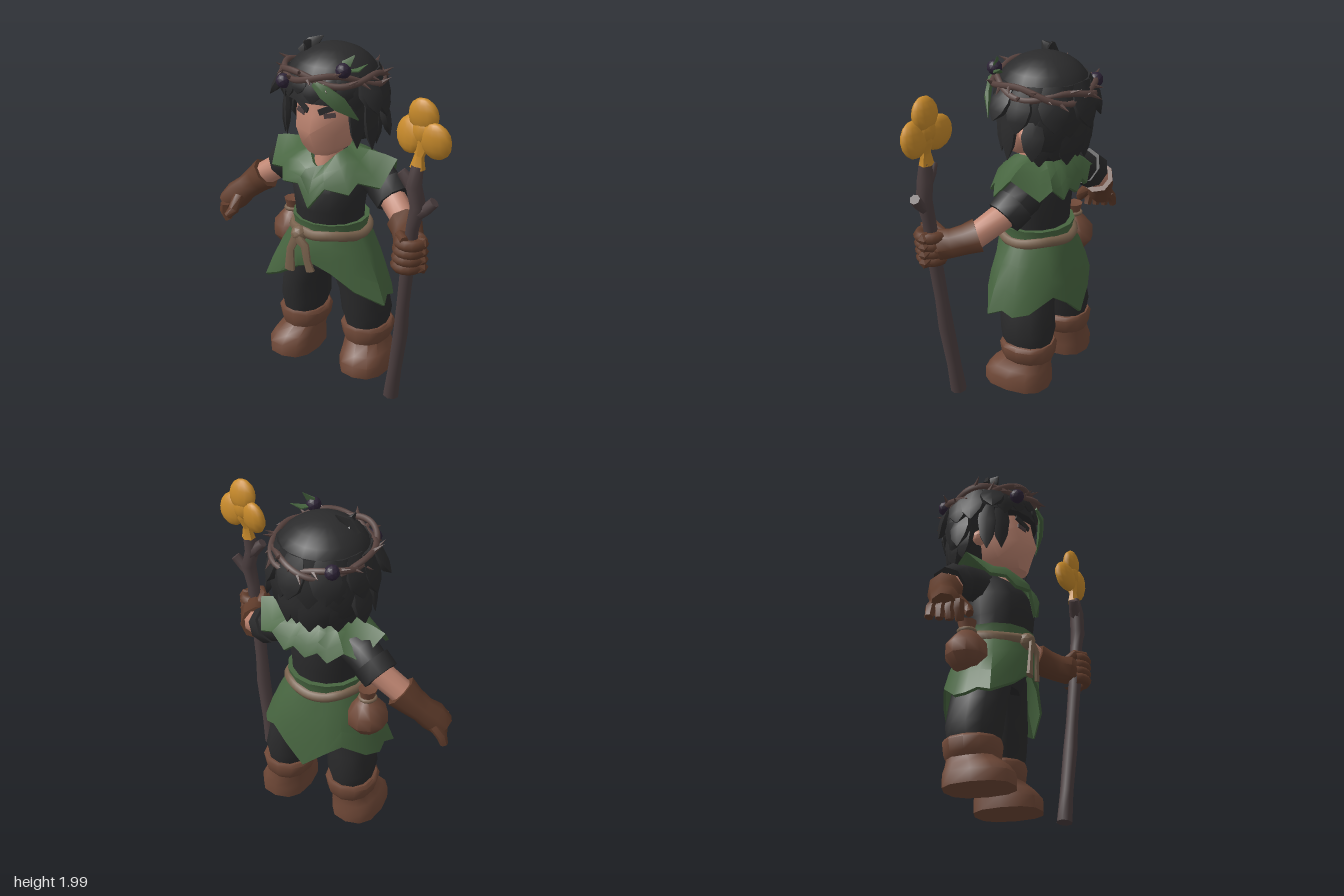
import * as THREE from 'three';
import { toCreasedNormals } from 'three/addons/utils/BufferGeometryUtils.js';

const V = (x, y, z) => new THREE.Vector3(x, y, z);
const mat = (name, color) => Object.assign(new THREE.MeshStandardMaterial({ color }), { name });
const CX = -0.025; // body midline

// Skin closed rows of points into a surface, with optional end caps
function grid(rows, caps = true, crease = 0.9) {
  const pos = [], n = rows[0].length;
  const tri = (...p) => p.forEach(v => pos.push(v.x, v.y, v.z));
  for (let j = 0; j < rows.length - 1; j++) for (let i = 0; i < n; i++) {
    const k = (i + 1) % n, a = rows[j][i], b = rows[j][k], c = rows[j + 1][k], d = rows[j + 1][i];
    tri(a, b, c); tri(a, c, d);
  }
  if (caps) [rows[0], rows[rows.length - 1]].forEach((row, e) => {
    const mid = row.reduce((s, p) => s.add(p), V(0, 0, 0)).divideScalar(n);
    row.forEach((p, i) => { const q = row[(i + 1) % n]; e ? tri(mid, p, q) : tri(mid, q, p); });
  });
  const g = new THREE.BufferGeometry();
  g.setAttribute('position', new THREE.Float32BufferAttribute(pos, 3));
  return toCreasedNormals(g, crease);
}

// Stack of level ovals: [y, x, z, halfWidth, halfDepth]
function loft(rings, n = 12, pow = 1) {
  const sq = t => Math.sign(t) * Math.abs(t) ** pow;
  return grid(rings.map(([y, x, z, rx, rz]) => Array.from({ length: n }, (_, i) => {
    const a = i / n * Math.PI * 2;
    return V(x + rx * sq(Math.sin(a)), y, z + rz * sq(Math.cos(a)));
  })));
}

// Tapered limb along points [x, y, z, radius], flattened towards ref
function limb(pts, n = 8, flat = 1, ref = V(0, 0, 1)) {
  const p = pts.map(q => V(q[0], q[1], q[2]));
  return grid(p.map((c, j) => {
    const T = p[Math.min(j + 1, p.length - 1)].clone().sub(p[Math.max(j - 1, 0)]).normalize();
    const N = ref.clone().addScaledVector(T, -ref.dot(T)).normalize(), B = T.clone().cross(N);
    return Array.from({ length: n }, (_, i) => {
      const a = i / n * Math.PI * 2, r = pts[j][3];
      return c.clone().addScaledVector(N, Math.cos(a) * r * flat).addScaledVector(B, Math.sin(a) * r);
    });
  }));
}

// Thick cloth from a top edge to a pointed hem; half a hem is given and mirrored
function cloth(half, top, bulge, thick) {
  const cz = -0.03;
  const hem = half.concat(half.slice(1, -1).reverse().map(([x, y, z]) => [2 * CX - x, y, z]));
  const row = (t, inset) => hem.map(h => {
    const a = Math.atan2(h[0] - CX, h[2] - cz), out = V(Math.sin(a), 0.6, Math.cos(a));
    return V(...h).lerp(top(a), t).addScaledVector(out, bulge * Math.sin(Math.PI * t) - inset);
  });
  const ts = [0, 0.3, 0.65, 1];
  return grid([...ts.map(t => row(t, 0)), ...ts.reverse().map(t => row(t, thick)), row(0, 0)], false, 0.7);
}

export function createModel() {
  const root = new THREE.Group();
  root.name = 'wanderer';
  const black = mat('black cloth and hair', 0x2b2b2c), green = mat('leaf green', 0x476540);
  const skin = mat('skin', 0xc08672), boot = mat('boot leather', 0x6f4837), glove = mat('glove leather', 0x613d2c);
  const rope = mat('rope', 0x7a634e), wood = mat('dark wood', 0x4c3f40), gold = mat('gold', 0xc98b2b);
  const berry = mat('berry', 0x2d2336), vine = mat('thorn vine', 0x58433f);
  const add = (name, geo, m, parent = root) => {
    const mesh = new THREE.Mesh(geo, m);
    mesh.name = name;
    parent.add(mesh);
    return mesh;
  };
  const ball = (name, m, x, y, z, r, d = 1) => add(name, toCreasedNormals(new THREE.IcosahedronGeometry(r, d), 0.5), m).position.set(x, y, z);

  // Boots and baggy trouser legs
  for (const s of [1, -1]) {
    const x = CX + s * 0.215, f = CX + s * 0.245;
    add('bootFoot', loft([[0.01, f, -0.03, 0.148, 0.2], [0.08, f, -0.03, 0.15, 0.2], [0.13, f - s * 0.01, -0.045, 0.135, 0.175],
      [0.18, x, -0.075, 0.12, 0.145], [0.22, x, -0.075, 0.12, 0.145]], 12, 0.8), boot);
    add('bootCuff', loft([[0.17, x, -0.075, 0.12, 0.145], [0.2, x, -0.08, 0.143, 0.158], [0.27, x, -0.08, 0.157, 0.165],
      [0.29, x, -0.08, 0.14, 0.155]], 12, 0.9), boot);
    add('trouserLeg', loft([[0.26, x, -0.075, 0.12, 0.145], [0.3, x, -0.075, 0.125, 0.15], [0.36, x - s * 0.005, -0.075, 0.142, 0.16],
      [0.5, x - s * 0.02, -0.06, 0.135, 0.16], [0.62, x - s * 0.06, -0.05, 0.14, 0.16], [0.75, x - s * 0.09, -0.04, 0.12, 0.16]], 12, 0.9), black);
  }
  add('hips', loft([[0.64, CX, -0.04, 0.17, 0.15], [0.75, CX, -0.03, 0.215, 0.175], [0.93, CX, -0.015, 0.2, 0.185]]), black);

  // Shirt, leaf skirt and leaf collar
  add('shirt', loft([[0.92, CX, -0.01, 0.2, 0.185], [1.05, CX, -0.005, 0.207, 0.2], [1.17, CX, -0.005, 0.225, 0.21],
    [1.26, CX, -0.03, 0.21, 0.17], [1.32, CX, -0.05, 0.16, 0.11], [1.36, CX, -0.06, 0.1, 0.06]], 14), black);
  const oval = (y, z, rx, rz) => a => V(CX + rx * Math.sin(a), y, z + rz * Math.cos(a));
  add('skirt', cloth([[CX, 0.72, 0.2], [0.09, 0.68, 0.195], [0.23, 0.59, 0.17], [0.38, 0.5, 0.08], [0.355, 0.53, 0], [0.36, 0.505, -0.07],
    [0.31, 0.52, -0.15], [0.2, 0.61, -0.25], [0.1, 0.54, -0.29], [CX, 0.43, -0.31]], oval(0.91, -0.015, 0.215, 0.2), 0.012, 0.015), green);
  add('waistTrim', loft([[0.86, CX, -0.015, 0.222, 0.202], [0.93, CX, -0.015, 0.218, 0.202], [0.975, CX, -0.015, 0.228, 0.215]], 14), green);
  add('collar', cloth([[CX - 0.02, 1.08, 0.225], [0.06, 1.215, 0.215], [0.19, 1.19, 0.17], [0.22, 1.25, 0.12], [0.33, 1.22, 0.06],
    [0.365, 1.355, -0.07], [0.29, 1.23, -0.21], [0.2, 1.27, -0.24], [0.11, 1.19, -0.265], [0.05, 1.24, -0.265], [CX, 1.19, -0.275]],
    a => V(CX + 0.11 * Math.sin(a), 1.39 - 0.085 * Math.max(0, Math.cos(a)) ** 4, -0.03 + (Math.cos(a) > 0 ? 0.17 : 0.11) * Math.cos(a)), 0.017, 0.018), green);

  // Rope belt with knot and hanging ends
  const beltPts = Array.from({ length: 16 }, (_, i) => oval(0.9 + 0.01 * Math.sin(i * 1.3), -0.015, 0.218, 0.202)(i / 8 * Math.PI));
  add('belt', new THREE.TubeGeometry(new THREE.CatmullRomCurve3(beltPts, true), 48, 0.031, 6, true), rope);
  ball('beltKnot', rope, -0.12, 0.89, 0.19, 0.05);
  add('beltEnd', limb([[-0.12, 0.89, 0.22, 0.03], [-0.16, 0.8, 0.225, 0.025], [-0.17, 0.66, 0.22, 0.035]], 6, 0.5), rope);
  add('beltEnd', limb([[-0.13, 0.89, 0.22, 0.03], [-0.06, 0.84, 0.23, 0.03], [-0.05, 0.75, 0.225, 0.025], [-0.03, 0.68, 0.22, 0.03]], 6, 0.5), rope);

  // Hip pouch
  const pouchProfile = [[0, -0.11], [0.075, -0.1], [0.122, -0.04], [0.118, 0.03], [0.07, 0.09], [0.04, 0.12], [0.055, 0.18], [0, 0.165]];
  const pouch = add('pouch', toCreasedNormals(new THREE.LatheGeometry(pouchProfile.map(p => new THREE.Vector2(...p)), 10), 0.9), boot);
  pouch.position.set(-0.33, 0.78, -0.09);
  const tie = add('pouchTie', new THREE.TorusGeometry(0.045, 0.012, 6, 12), rope);
  tie.position.set(-0.33, 0.9, -0.09);
  tie.rotation.x = Math.PI / 2;

  // Right arm, hanging open
  add('rightSleeve', limb([[-0.16, 1.26, -0.07, 0.1], [-0.31, 1.22, -0.12, 0.105], [-0.4, 1.165, -0.15, 0.095]]), black);
  add('rightSleeveCuff', limb([[-0.365, 1.195, -0.14, 0.112], [-0.44, 1.14, -0.16, 0.108]]), black);
  add('rightForearm', limb([[-0.4, 1.16, -0.15, 0.075], [-0.6, 1.025, -0.13, 0.07]]), skin);
  add('rightGlove', limb([[-0.55, 1.055, -0.135, 0.1], [-0.61, 1.005, -0.125, 0.085], [-0.67, 0.95, -0.1, 0.075], [-0.72, 0.9, -0.07, 0.085],
    [-0.78, 0.84, -0.05, 0.07]]), glove);
  for (let i = 0; i < 4; i++) {
    const z = -0.115 + 0.045 * i;
    add('rightFinger', limb([[-0.75, 0.87, z, 0.032], [-0.8 + i * 0.015, 0.82, z, 0.032], [-0.82 + i * 0.03, 0.765, z, 0.023]], 6), glove);
  }
  add('rightThumb', limb([[-0.68, 0.92, -0.02, 0.035], [-0.68, 0.85, 0.04, 0.033], [-0.71, 0.81, 0.065, 0.022]], 6), glove);

  // Left arm, gripping the staff
  add('leftSleeve', limb([[0.11, 1.26, -0.07, 0.1], [0.24, 1.22, -0.08, 0.11], [0.33, 1.165, -0.05, 0.1]]), black);
  add('leftSleeveCuff', limb([[0.295, 1.19, -0.065, 0.115], [0.37, 1.13, -0.03, 0.108]]), black);
  add('leftForearm', limb([[0.32, 1.165, -0.05, 0.078], [0.53, 1.03, 0.09, 0.07]]), skin);
  add('leftGlove', limb([[0.485, 1.05, 0.065, 0.1], [0.53, 1.03, 0.12, 0.088], [0.57, 1.01, 0.18, 0.085], [0.6, 1, 0.24, 0.092], [0.62, 0.99, 0.28, 0.065]],
    8, 1, V(0, 1, 0)), glove);
  for (let i = 0; i < 4; i++) {
    const y = 0.925 + i * 0.046;
    const finger = add('leftFinger', new THREE.TorusGeometry(0.062, 0.033, 6, 10, Math.PI * 1.4), glove);
    finger.position.set(0.612 + i * 0.005, y, 0.28);
    finger.rotation.set(-Math.PI / 2, 0, -Math.PI * 0.9);
    ball('leftKnuckle', glove, 0.69, y, 0.275, 0.04, 0);
  }
  add('leftThumb', limb([[0.57, 1.04, 0.22, 0.035], [0.57, 1.09, 0.29, 0.03], [0.62, 1.09, 0.345, 0.025]], 6), glove);

  // Staff with forked top
  add('staff', limb([[0.5, 0.015, 0.215, 0.047], [0.525, 0.2, 0.225, 0.041], [0.565, 0.47, 0.243, 0.044], [0.58, 0.65, 0.255, 0.038], [0.605, 0.88, 0.27, 0.04],
    [0.635, 1.15, 0.28, 0.038], [0.665, 1.28, 0.285, 0.045], [0.64, 1.39, 0.29, 0.045], [0.65, 1.5, 0.275, 0.035]]), wood);
  add('staffBranch', limb([[0.66, 1.23, 0.285, 0.035], [0.71, 1.27, 0.285, 0.032], [0.755, 1.32, 0.28, 0.03]], 7), wood);
  add('staffBranch', limb([[0.645, 1.37, 0.285, 0.04], [0.6, 1.42, 0.285, 0.035], [0.565, 1.46, 0.29, 0.028]], 7), wood);

  // Clover head: three flat lobes merging in the middle
  const clover = new THREE.Group();
  clover.name = 'clover';
  clover.position.set(0.667, 1.665, 0.255);
  clover.rotation.y = -0.22;
  root.add(clover);
  [[0, 0.105, 0.1, 0.09], [-0.08, -0.012, -0.12, 0.094], [0.08, -0.012, 0.12, 0.094], [0, 0.02, 0, 0.07]].forEach(([x, y, twist, r]) => {
    const lobe = add('cloverLobe', new THREE.SphereGeometry(1, 12, 8), gold, clover);
    lobe.scale.set(r, r + 0.008, 0.046);
    lobe.position.set(x, y, 0);
    lobe.rotation.set(twist, twist, 0);
  });
  add('cloverStem', limb([[-0.015, -0.18, 0.02, 0.045], [-0.01, -0.11, 0.015, 0.028], [0, -0.04, 0, 0.05], [0, 0.06, 0, 0.05]], 6, 0.8), gold, clover);

  // Head, neck, ears and eyes
  const HX = -0.022;
  add('neck', loft([[1.26, CX, 0.02, 0.09, 0.095], [1.34, CX, 0.005, 0.08, 0.095], [1.45, CX, -0.01, 0.075, 0.08]], 8), skin);
  add('head', loft([[1.385, HX, 0.07, 0.085, 0.095], [1.43, HX, 0.035, 0.145, 0.15], [1.53, HX, 0, 0.18, 0.228],
    [1.62, HX, 0, 0.187, 0.205], [1.75, HX, -0.02, 0.19, 0.2]], 8), skin);
  for (const s of [1, -1]) {
    ball('ear', skin, HX + s * 0.195, 1.55, -0.06, 0.045);
    const plate = (name, w, h, x, y, z, m, tilt) => {
      const b = add(name, new THREE.BoxGeometry(w, h, 0.009), m);
      b.position.set(HX + s * x, y, z);
      b.rotation.set(-0.1, s * 0.42, s * tilt, 'YXZ');
    };
    plate('eyebrow', 0.115, 0.034, 0.082, 1.668, 0.166, black, 0.38);
    plate('eye', 0.065, 0.026, 0.09, 1.632, 0.165, wood, 0.15);
  }

  // Hair: smooth full dome, back mass and rows of pointed locks
  const HZ = -0.055;
  const dome = [0, 0.25, 0.5, 0.7, 0.85, 0.95, 0.99].map(t => {
    const k = Math.sqrt(1 - t ** 2.4);
    return [1.7 + 0.268 * t, -0.03, HZ, 0.277 * k, 0.275 * k];
  });
  add('hairDome', loft(dome, 20), black);
  add('hairBack', loft([[1.41, -0.03, -0.16, 0.17, 0.09], [1.5, -0.03, -0.17, 0.25, 0.125], [1.65, -0.03, -0.17, 0.27, 0.145], [1.8, -0.03, -0.15, 0.245, 0.14]]), black);
  const lock = (deg, y0, y1, r0, r1, w) => {
    const a = deg * Math.PI / 180, out = V(Math.sin(a), 0, Math.cos(a));
    const at = (t, k) => {
      const r = r0 + (r1 - r0) * t;
      return [-0.03 + r * out.x, y0 + (y1 - y0) * t, HZ + r * out.z, w * k];
    };
    add('hairLock', limb([at(0, 0.6), at(0.45, 1), at(0.75, 0.75), at(1, 0.06)], 6, 0.42, out), black);
  };
  [-54, -36, -17, 3, 22, 42, 56].forEach((d, i) => lock(d, 1.84, [1.67, 1.7, 1.74, 1.7, 1.75, 1.71, 1.66][i], 0.235, 0.275, 0.07));
  for (const s of [1, -1]) {
    lock(s * 58, 1.76, 1.44, 0.255, 0.265, 0.055);
    lock(s * 76, 1.76, 1.42, 0.26, 0.29, 0.06);
    lock(s * 70, 1.83, 1.655, 0.245, 0.365, 0.08);
    lock(s * 92, 1.83, 1.6, 0.25, 0.33, 0.085);
    lock(s * 108, 1.68, 1.45, 0.265, 0.32, 0.075);
  }
  for (let i = 0; i < 8; i++) lock(110 + i * 20, 1.84, 1.56 + 0.05 * (i % 2), 0.23, i % 2 ? 0.315 : 0.275, 0.1);
  for (let i = 0; i < 8; i++) lock(113 + i * 19, 1.66, 1.39 + 0.03 * (i % 2), 0.24, 0.24, 0.085);
  add('hairTuft', limb([[-0.2, 1.89, -0.02, 0.05], [-0.15, 1.96, -0.03, 0.04], [-0.1, 1.998, -0.06, 0.004]], 6, 0.5), black);
  add('hairTuft', limb([[-0.17, 1.91, -0.02, 0.045], [-0.16, 1.96, 0.01, 0.035], [-0.17, 1.98, 0.04, 0.004]], 6, 0.5, V(1, 0, 0)), black);

  // Thorn crown with berries and leaves
  const ring = (a, phase, extra = 0) => {
    const r = 0.276 + extra + 0.012 * Math.cos(4 * a + phase);
    return V(-0.03 + r * Math.sin(a), 1.808 + 0.033 * Math.cos(a) + 0.027 * Math.sin(3 * a + phase), HZ + r * Math.cos(a));
  };
  for (const phase of [0, Math.PI]) {
    const pts = Array.from({ length: 28 }, (_, i) => ring(i / 14 * Math.PI, phase));
    add('crownVine', new THREE.TubeGeometry(new THREE.CatmullRomCurve3(pts, true), 72, 0.018, 6, true), vine);
    for (let i = 0; i < 12; i++) {
      const a = (i + phase / 6) / 6 * Math.PI, p = ring(a, phase), q = ring(a + 0.12, phase, 0.05);
      q.y += i % 2 ? 0.035 : -0.025;
      add('thorn', limb([[p.x, p.y, p.z, 0.016], [q.x, q.y, q.z, 0.001]], 5, 1, V(0, 1, 0)), vine);
    }
  }
  [[-0.22, 1.785, 0.17], [0.145, 1.895, 0.155], [-0.2, 1.8, -0.285]].forEach(p => ball('berry', berry, ...p, 0.043));
  add('longLeaf', limb([[0, 1.82, 0.22, 0.02], [0.07, 1.785, 0.23, 0.042], [0.15, 1.72, 0.2, 0.047], [0.235, 1.63, 0.145, 0.003]], 6, 0.4, V(0.4, 0, 1)), green);
  add('smallLeaf', limb([[0.14, 1.87, 0.15, 0.012], [0.155, 1.93, 0.14, 0.032], [0.19, 1.975, 0.11, 0.002]], 6, 0.25), green);
  add('smallLeaf', limb([[0.15, 1.89, 0.14, 0.012], [0.2, 1.89, 0.1, 0.03], [0.24, 1.92, 0.06, 0.002]], 6, 0.25, V(0, 1, 0)), green);
  return root;
}
